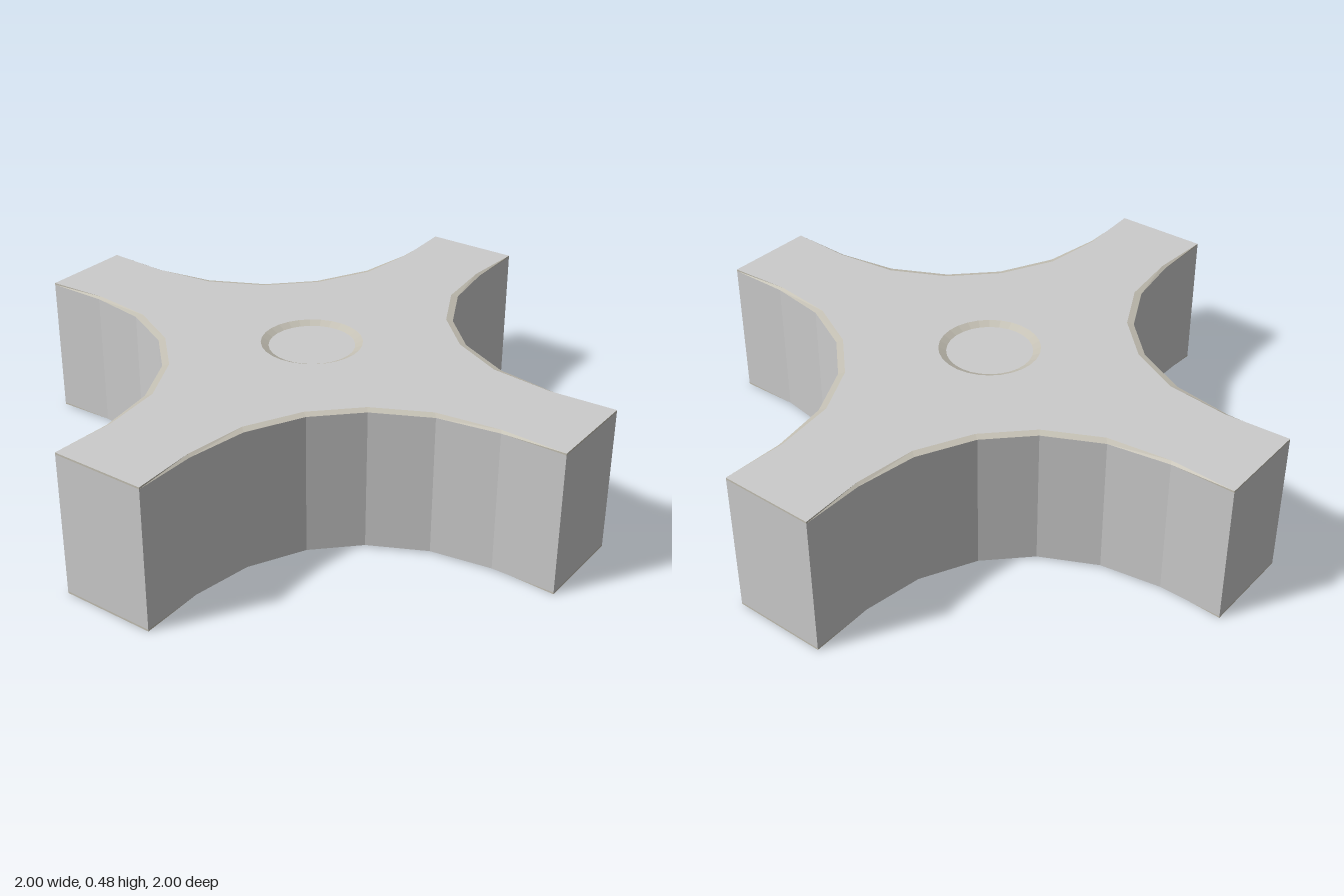
import * as THREE from 'three';

const H = 0.48, MID = H / 2, BEVEL = 0.006, DIMPLE = 0.012;

const grey = new THREE.MeshStandardMaterial({ color: 0xcccccc, flatShading: true });
grey.name = 'light grey';
const beige = new THREE.MeshStandardMaterial({ color: 0xc3bfb3, flatShading: true });
beige.name = 'warm grey';

// One quarter of the cross: arm end, concave corner, next arm end
const outerQuarter = [[1, 0.158], [0.79, 0.158], [0.59, 0.19], [0.41, 0.28],
  [0.28, 0.41], [0.19, 0.59], [0.158, 0.79], [0.158, 1]];
const innerQuarter = [[1, 0.158], [0.785, 0.147], [0.575, 0.172], [0.397, 0.262],
  [0.262, 0.397], [0.172, 0.575], [0.147, 0.785], [0.158, 1]];

// Repeat a quarter four times around the centre
function fullLoop(quarter) {
  const loop = [];
  let pts = quarter;
  for (let i = 0; i < 4; i++) {
    loop.push(...pts);
    pts = pts.map(([x, y]) => [-y, x]);
  }
  return loop;
}

function circle(radius, n = 28) {
  return Array.from({ length: n }, (_, i) => {
    const a = (i / n) * Math.PI * 2;
    return [Math.cos(a) * radius, Math.sin(a) * radius];
  });
}

// Strip of quads between two matching loops
function band(a, ya, b, yb) {
  const pos = [];
  const put = ([x, y], h) => pos.push(x, h, -y);
  for (let i = 0; i < a.length; i++) {
    const j = (i + 1) % a.length;
    put(a[i], ya); put(a[j], ya); put(b[j], yb);
    put(a[i], ya); put(b[j], yb); put(b[i], yb);
  }
  const g = new THREE.BufferGeometry();
  g.setAttribute('position', new THREE.Float32BufferAttribute(pos, 3));
  g.computeVertexNormals();
  return g;
}

// Flat upward-facing plate
function plate(loop, y, hole) {
  const toVectors = (l) => l.map(([x, z]) => new THREE.Vector2(x, z));
  const shape = new THREE.Shape(toVectors(loop));
  if (hole) shape.holes.push(new THREE.Path(toVectors(hole)));
  return new THREE.ShapeGeometry(shape).rotateX(-Math.PI / 2).translate(0, y, 0);
}

function addMesh(parent, name, geometry, material) {
  const mesh = new THREE.Mesh(geometry, material);
  mesh.name = name;
  parent.add(mesh);
}

export function createModel() {
  const model = new THREE.Group();
  model.name = 'crossHandle';
  const outer = fullLoop(outerQuarter);
  const inner = fullLoop(innerQuarter);
  const rim = circle(0.165), floor = circle(0.14);

  addMesh(model, 'sideWalls', band(outer, BEVEL, outer, H - BEVEL), grey);

  // The same face closes the top and, turned over, the bottom
  for (const [name, turn] of [['topFace', 0], ['bottomFace', Math.PI]]) {
    const face = new THREE.Group();
    face.name = name;
    face.position.y = MID;
    face.rotation.x = turn;
    addMesh(face, 'facePlate', plate(inner, MID, rim), grey);
    addMesh(face, 'edgeBevel', band(outer, MID - BEVEL, inner, MID), beige);
    addMesh(face, 'dimpleRim', band(rim, MID, floor, MID - DIMPLE), beige);
    addMesh(face, 'dimpleFloor', plate(floor, MID - DIMPLE), grey);
    model.add(face);
  }
  return model;
}
